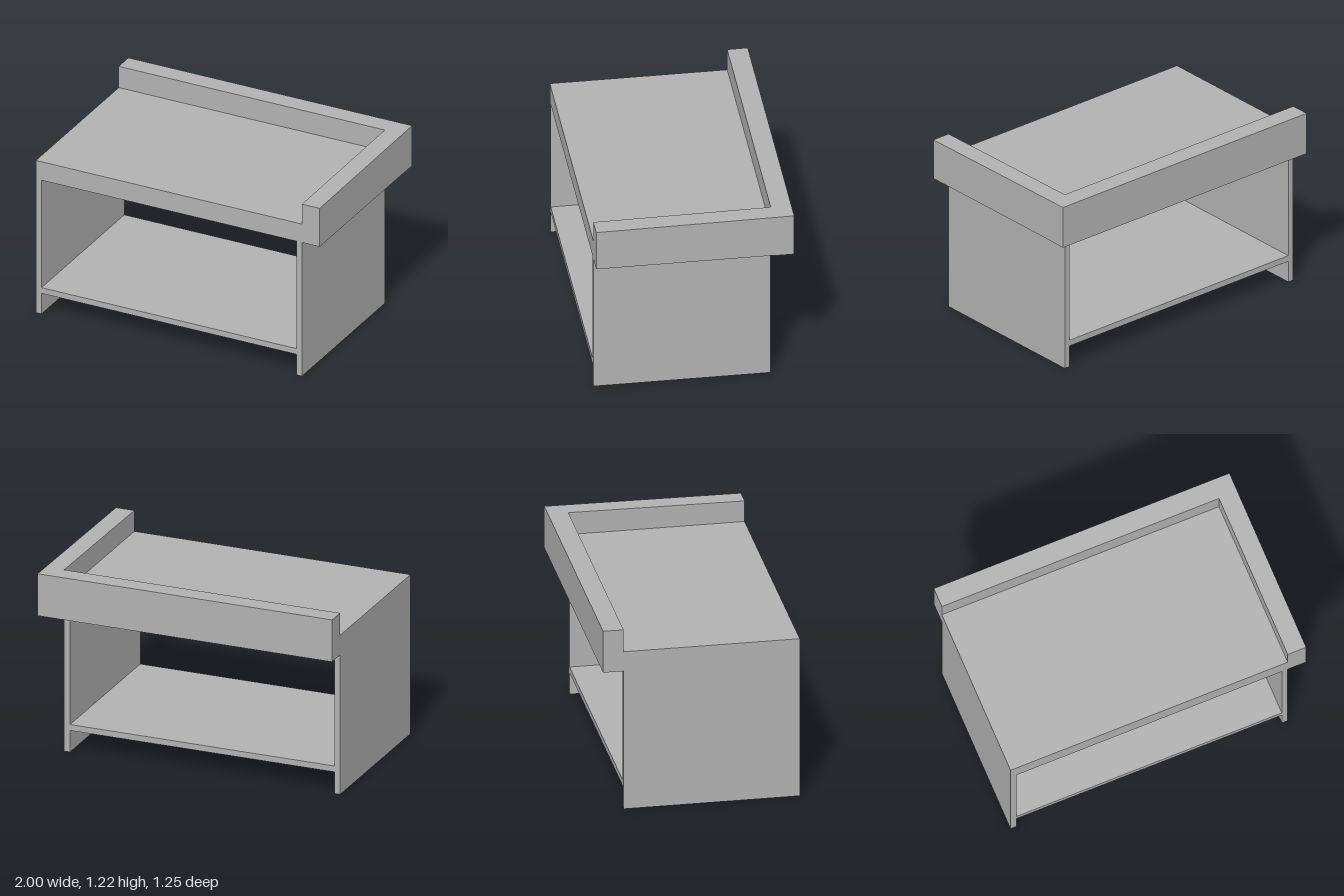
import * as THREE from 'three';

const grey = new THREE.MeshStandardMaterial({ color: 0xb2b2b2 });
grey.name = 'plain grey';

// Box given by its lower and upper limits on each axis
function block(name, [x0, x1], [y0, y1], [z0, z1]) {
  const geometry = new THREE.BoxGeometry(x1 - x0, y1 - y0, z1 - z0);
  geometry.translate((x0 + x1) / 2, (y0 + y1) / 2, (z0 + z1) / 2);
  const mesh = new THREE.Mesh(geometry, grey);
  mesh.name = name;
  return mesh;
}

// Raise the top of a rail slightly towards the back
function slopeTop(mesh) {
  const p = mesh.geometry.attributes.position;
  for (let i = 0; i < p.count; i++) {
    if (p.getY(i) > 1.1) p.setY(i, 1.215 - 0.008 * p.getZ(i));
  }
  mesh.geometry.computeVertexNormals();
  return mesh;
}

export function createModel() {
  const group = new THREE.Group();
  group.name = 'table';

  const front = 0.625, back = -0.625, innerBack = -0.495;
  const depth = [innerBack, front];

  // Table top
  group.add(block('tableTop', [-1, 0.875], [0.94, 1.07], depth));

  // Raised rails along the back and the left side
  group.add(slopeTop(block('backRail', [-1, 1], [0.938, 1.22], [back, innerBack])));
  group.add(slopeTop(block('sideRail', [0.875, 1], [0.94, 1.22], depth)));

  // Side panels
  group.add(block('rightPanel', [-1, -0.96], [0, 0.94], depth));
  group.add(block('leftPanel', [0.835, 0.875], [0, 0.94], depth));

  // Lower shelf
  group.add(block('shelf', [-0.96, 0.835], [0.145, 0.185], depth));

  return group;
}
